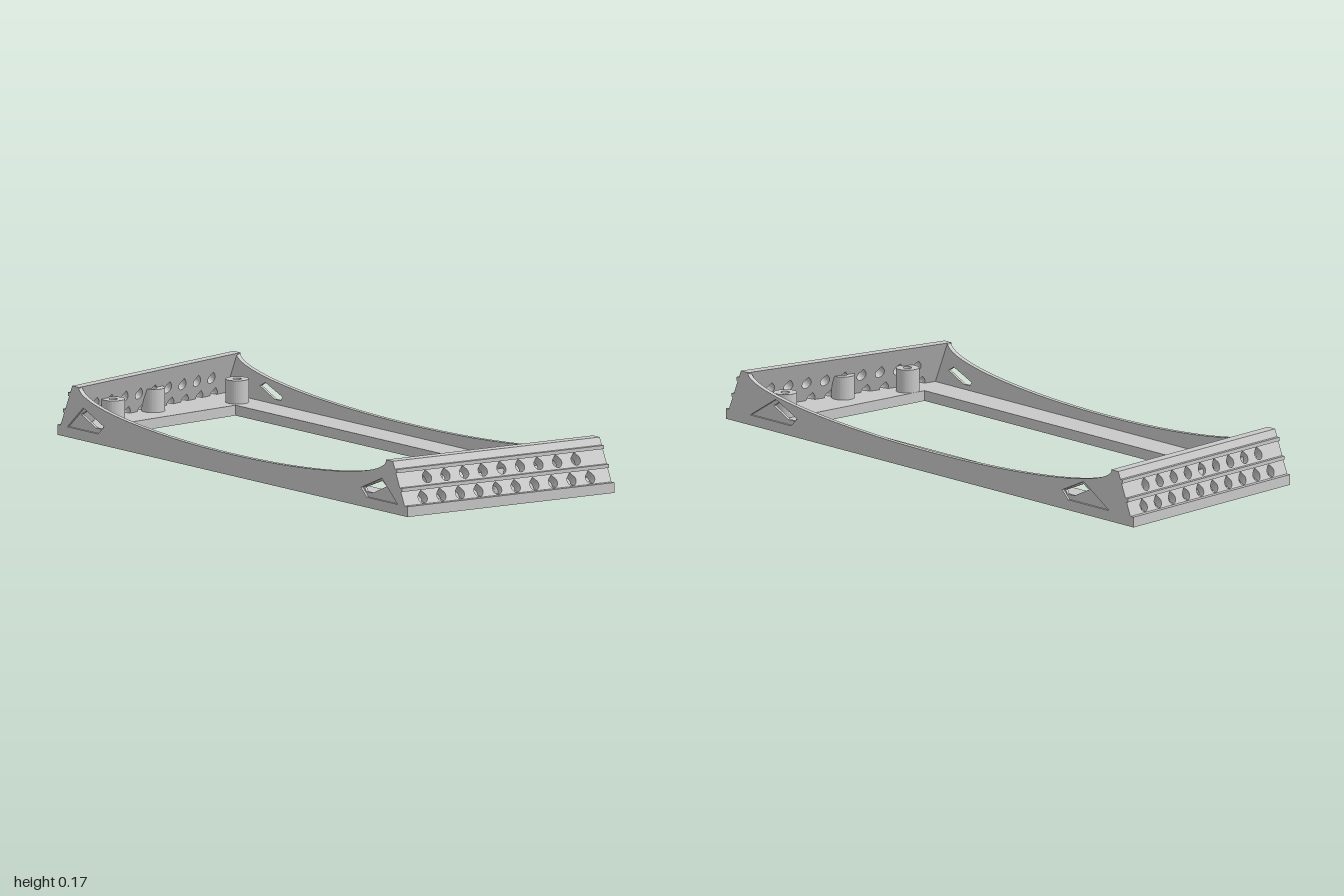
import * as THREE from 'three';

const HZ = 0.385, H = 0.172, BASE = 0.034, LEAN = 0.43, WALL = 0.035;
// outer half width of the tapered footprint, and of the leaning side walls
const edge = z => 0.9425 - 0.1494 * z;
const lean = y => -0.015 - LEAN * (y - BASE);

const grey = new THREE.MeshStandardMaterial({ color: 0xc8c8c8 });
grey.name = 'grey plastic';

const points = list => list.map(([x, y]) => new THREE.Vector2(x, y));
const extrude = (shape, depth) =>
  new THREE.ExtrudeGeometry(shape, { depth, bevelEnabled: false, curveSegments: 16 });
const circle = (x, y, r) => new THREE.Path().absarc(x, y, r, 0, Math.PI * 2, true);

// move every vertex by a rule and rebuild the normals
function remap(geo, rule) {
  const p = geo.attributes.position;
  for (let i = 0; i < p.count; i++) p.setXYZ(i, ...rule(p.getX(i), p.getY(i), p.getZ(i)));
  geo.computeVertexNormals();
  return geo;
}

// round hole with a pointed roof
function teardrop(x, y, r) {
  const path = new THREE.Path();
  path.moveTo(x, y + r * Math.SQRT2);
  path.lineTo(x - r * Math.SQRT1_2, y + r * Math.SQRT1_2);
  path.absarc(x, y, r, Math.PI * 0.75, Math.PI * 2.25, false);
  path.closePath();
  return path;
}

export function createModel() {
  const model = new THREE.Group();
  const add = (name, geo) => {
    const mesh = new THREE.Mesh(geo, grey);
    mesh.name = name;
    model.add(mesh);
    return mesh;
  };

  const bosses = [[0.805, -0.3], [0.867, 0], [0.803, 0.22]];

  for (const s of [-1, 1]) {
    const side = s > 0 ? 'left' : 'right';

    // half of the base frame around the opening, with screw holes (shape y is -z)
    const base = new THREE.Shape(points([
      [0, -HZ], [s * edge(HZ), -HZ], [s * edge(-HZ), HZ], [0, HZ],
      [0, 0.26], [s * 0.765, 0.26], [s * 0.765, -0.26], [0, -0.26]]));
    for (const [x, z] of bosses) base.holes.push(circle(s * x, -z, 0.014));
    add(side + 'BaseFrame', extrude(base, BASE).rotateX(-Math.PI / 2));

    // screw bosses, trimmed where they run into the side wall
    for (const [x, z] of bosses) {
      const ring = new THREE.Shape().absarc(s * x, -z, 0.038, 0, Math.PI * 2, false);
      ring.holes.push(circle(s * x, -z, 0.014));
      const geo = extrude(ring, 0.11 - BASE).rotateX(-Math.PI / 2);
      add(side + 'ScrewBoss', remap(geo, (px, py, pz) => [
        s * Math.min(Math.abs(px), edge(pz) + lean(py + BASE) - 0.012), py + BASE, pz]));
    }

    // leaning side wall with two rows of teardrop vents drilled square to it
    const wall = new THREE.Shape(points([[-HZ, 0.01], [HZ, 0.01], [HZ, H], [-HZ, H]]));
    for (let i = 0; i < 9; i++) wall.holes.push(teardrop((i - 4) * 0.0692, 0.112, 0.0165));
    for (let i = 0; i < 10; i++) wall.holes.push(teardrop((i - 4.5) * 0.0692, 0.0525, 0.0165));
    add(side + 'Wall', remap(extrude(wall, WALL), (u, v, t) => {
      const isVent = v > 0.011 && v < H - 0.001;
      const y = isVent ? v - LEAN * t : v;
      const z = s * u;
      return [s * (edge(z) + lean(y) - t), y, z];
    }));

    // ridges along the outside of the wall
    for (const [y1, y2] of [[0.078, 0.09], [0.136, 0.148]]) {
      const out = lean(y1) + 0.006;
      const ridge = new THREE.Shape(points([
        [s * (lean(y1) - 0.004), y1], [s * out, y1], [s * out, y2], [s * (lean(y2) - 0.004), y2]]));
      add(side + 'Ridge', remap(extrude(ridge, 2 * HZ),
        (x, y, t) => [x + s * edge(t - HZ), y, t - HZ]));
    }
  }

  // front and back panels: scooped top edge, corner pockets and slots
  for (const f of [-1, 1]) {
    const e = edge(f * HZ), tip = f > 0 ? 0.835 : 0.88, scoop = e - 0.107;
    const pocket = [[tip, BASE], [0.755, 0.108], [0.65, 0.062], [0.68, BASE]];
    const slot = [[0.773, 0.083], [0.747, 0.098], [0.66, 0.063], [0.668, 0.05], [0.7, 0.05]];
    const panel = cut => {
      const outline = [[-(e - 0.03), 0.02], [e - 0.03, 0.02], [e - 0.09, H]];
      for (let i = 0; i <= 48; i++) {
        const a = Math.PI * i / 48;
        outline.push([scoop * Math.cos(a), H - 0.102 * Math.sin(a)]);
      }
      outline.push([-(e - 0.09), H]);
      const shape = new THREE.Shape(points(outline));
      for (const s of [-1, 1]) shape.holes.push(new THREE.Path(points(cut.map(([x, y]) => [s * x, y]))));
      return shape;
    };
    const name = f > 0 ? 'front' : 'back';
    add(name + 'PanelOuter', extrude(panel(pocket), 0.007)).position.z = f > 0 ? HZ - 0.007 : -HZ;
    add(name + 'PanelInner', extrude(panel(slot), 0.009)).position.z = f > 0 ? HZ - 0.016 : -HZ + 0.007;
  }

  return model;
}
